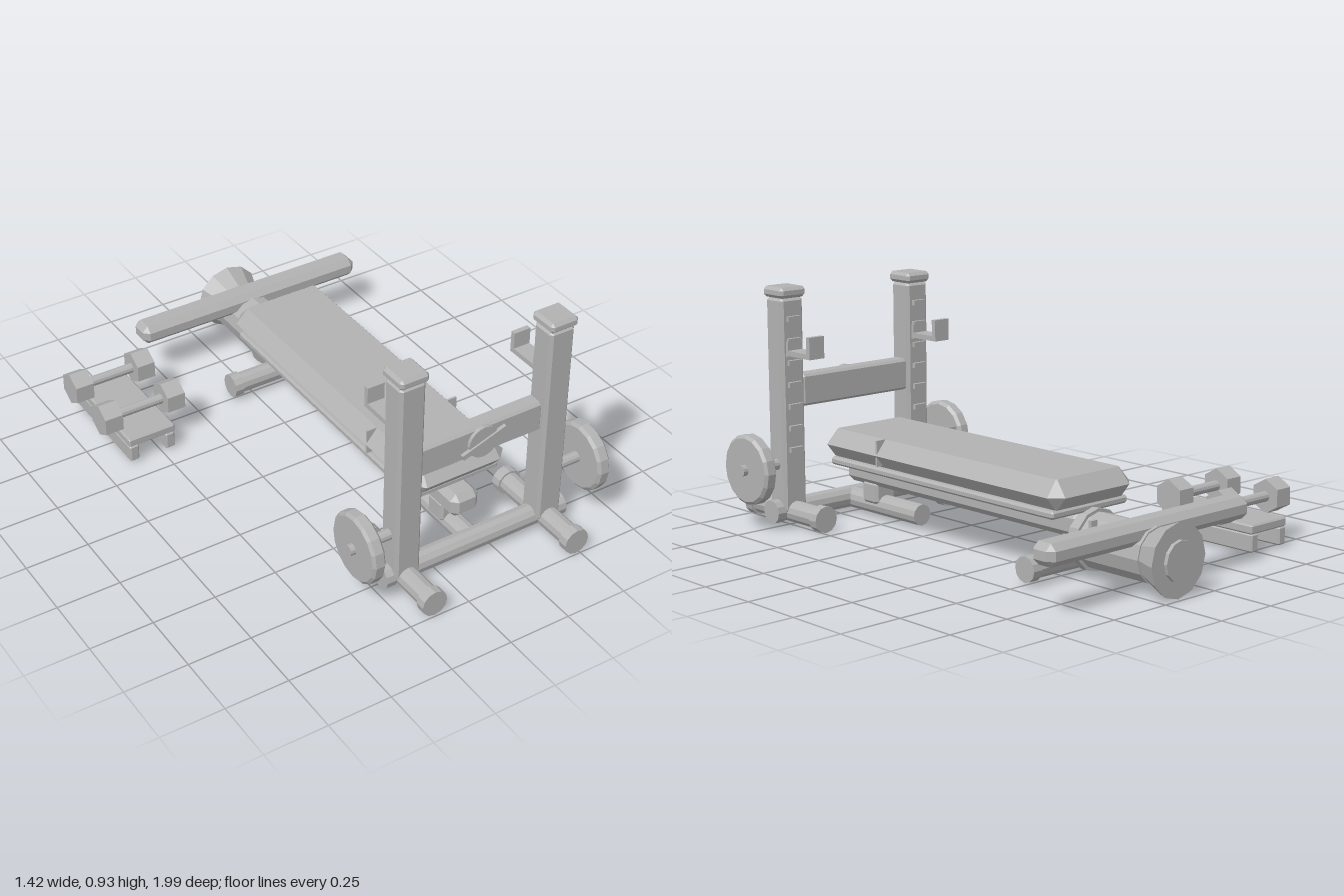
import * as THREE from 'three';
import { ConvexGeometry } from 'three/addons/geometries/ConvexGeometry.js';

const grey = new THREE.MeshStandardMaterial({ color: 0xb2b2b2, flatShading: true });
grey.name = 'grey metal';

const CX = 0.171;      // centre line of the bench
const POST = 0.314;    // post offset from the centre line
const POST_Z = 0.775;

export function createModel() {
  const model = new THREE.Group();
  model.name = 'weightBench';

  const add = (name, geo, x, y, z, parent = model) => {
    const mesh = new THREE.Mesh(geo, grey);
    mesh.name = name;
    mesh.position.set(x, y, z);
    parent.add(mesh);
    return mesh;
  };

  // Box with all edges chamfered by c
  const chamferBox = (w, h, d, c) => {
    const pts = [];
    for (const sx of [-1, 1]) for (const sy of [-1, 1]) for (const sz of [-1, 1]) {
      const [x, y, z] = [sx * w / 2, sy * h / 2, sz * d / 2];
      pts.push(new THREE.Vector3(x, y - sy * c, z - sz * c));
      pts.push(new THREE.Vector3(x - sx * c, y, z - sz * c));
      pts.push(new THREE.Vector3(x - sx * c, y - sy * c, z));
    }
    return new ConvexGeometry(pts);
  };

  // Cylinders lying along x or z; r1 is the radius at the + end
  const rodX = (r, len, n = 12) => new THREE.CylinderGeometry(r, r, len, n).rotateZ(-Math.PI / 2);
  const rodZ = (r1, r0, len, n = 12) => new THREE.CylinderGeometry(r1, r0, len, n).rotateX(Math.PI / 2);

  // Rack: posts, feet, hooks and plates, one set for each side
  for (const s of [-1, 1]) {
    const side = new THREE.Group();
    side.name = s > 0 ? 'leftRackSide' : 'rightRackSide';
    side.position.x = CX + s * POST;
    model.add(side);

    add('post', chamferBox(0.107, 0.84, 0.1, 0.012), 0, 0.47, POST_Z, side);
    add('postCap', chamferBox(0.12, 0.042, 0.12, 0.012), 0, 0.91, POST_Z, side);
    for (let i = 0; i < 7; i++) {
      add('postRung', new THREE.BoxGeometry(0.06, 0.02, 0.018), 0, 0.3 + i * 0.085, 0.72, side);
    }
    add('hookArm', new THREE.BoxGeometry(0.07, 0.02, 0.145), 0, 0.68, 0.652, side);
    add('hookLip', new THREE.BoxGeometry(0.07, 0.085, 0.02), 0, 0.7125, 0.59, side);
    add('hookPlate', new THREE.BoxGeometry(0.07, 0.06, 0.015), 0, 0.695, 0.72, side);

    add('foot', rodZ(0.043, 0.043, 0.43), 0, 0.052, 0.767, side);
    for (const z of [0.562, 0.973]) add('footCap', rodZ(0.052, 0.052, 0.04), 0, 0.052, z, side);

    add('weightAxle', rodX(0.022, 0.18), s * 0.135, 0.24, POST_Z, side);
    const plate = new THREE.LatheGeometry([
      [0, -0.027], [0.125, -0.027], [0.137, -0.017], [0.137, 0.017], [0.125, 0.027], [0, 0.027],
    ].map(([r, y]) => new THREE.Vector2(r, y)), 16).rotateZ(-Math.PI / 2);
    add('weightPlate', plate, s * 0.178, 0.24, POST_Z, side);
    add('crossbarCap', rodX(0.047, 0.04), s * 0.065, 0.055, POST_Z, side);
  }

  add('lowerCrossbar', rodX(0.043, 0.76), CX, 0.055, POST_Z);
  add('rackPanel', chamferBox(0.53, 0.125, 0.07, 0.01), CX, 0.522, 0.768);
  add('panelDisc', rodZ(0.063, 0.063, 0.018, 20), CX, 0.522, 0.807);
  add('panelHandle', new THREE.BoxGeometry(0.195, 0.021, 0.014), CX, 0.522, 0.816).rotation.z = 0.33;

  // Bench pad: three rings with cut corners, widest in the middle
  const padPoints = [];
  for (const [y, inset] of [[0.262, 0.04], [0.312, 0], [0.37, 0.048]]) {
    const w = 0.205 - inset, d = 0.655 - inset, c = inset ? 0.004 : 0.045;
    for (const sx of [-1, 1]) for (const sz of [-1, 1]) {
      padPoints.push(new THREE.Vector3(sx * w, y, sz * (d - c)));
      padPoints.push(new THREE.Vector3(sx * (w - c), y, sz * d));
    }
  }
  add('pad', new ConvexGeometry(padPoints), CX, 0, 0.055);
  add('padSeam', new THREE.BoxGeometry(0.4, 0.1, 0.008), CX, 0.32, 0.375);
  add('padBoard', chamferBox(0.38, 0.03, 1.23, 0.008), CX, 0.247, 0.05);

  // Spine and its supports
  add('spine', chamferBox(0.122, 0.1, 1.3, 0.025), CX, 0.185, 0.09);
  add('spineTip', chamferBox(0.075, 0.06, 0.05, 0.01), CX, 0.185, 0.715);
  add('frontSupport', chamferBox(0.1, 0.09, 0.09, 0.012), CX, 0.105, 0.605);
  add('centreFoot', rodZ(0.042, 0.042, 0.42), CX, 0.053, 0.555);
  add('rearSupport', new THREE.BoxGeometry(0.09, 0.08, 0.07), CX, 0.11, -0.505);
  add('rearFoot', rodX(0.041, 0.5), CX, 0.06, -0.508);
  for (const s of [-1, 1]) add('rearFootCap', rodX(0.048, 0.04), CX + s * 0.247, 0.06, -0.508);

  // Rear barrel with flared end
  add('barrel', rodZ(0.103, 0.103, 0.34), CX, 0.137, -0.72);
  add('barrelCollar', rodZ(0.115, 0.115, 0.03), CX, 0.137, -0.59);
  add('barrelFlare', rodZ(0.093, 0.136, 0.107), CX, 0.137, -0.932);
  add('barrelEndDisc', rodZ(0.075, 0.075, 0.03), CX, 0.137, -0.985);
  add('barrelPin', new THREE.BoxGeometry(0.03, 0.03, 0.015), CX + 0.08, 0.217, -0.655);
  add('rearCrossArm', chamferBox(1.005, 0.082, 0.106, 0.024), CX, 0.218, -0.825);

  // Dumbbell stand
  const stand = new THREE.Group();
  stand.name = 'dumbbellStand';
  stand.position.set(-0.542, 0, -0.564);
  model.add(stand);
  add('standTop', chamferBox(0.2, 0.036, 0.45, 0.006), 0, 0.096, 0, stand);
  for (const s of [-1, 1]) {
    add('standRail', chamferBox(0.04, 0.07, 0.45, 0.006), s * 0.078, 0.044, 0, stand);
    const dumbbell = new THREE.Group();
    dumbbell.name = 'dumbbell';
    dumbbell.position.set(0, 0.174, s * 0.122);
    stand.add(dumbbell);
    add('grip', rodX(0.02, 0.22), 0, 0, 0, dumbbell);
    for (const e of [-1, 1]) {
      add('hexHead', rodX(0.067, 0.075, 6).rotateX(Math.PI / 6 * 3), e * 0.135, 0, 0, dumbbell);
    }
  }
  return model;
}
